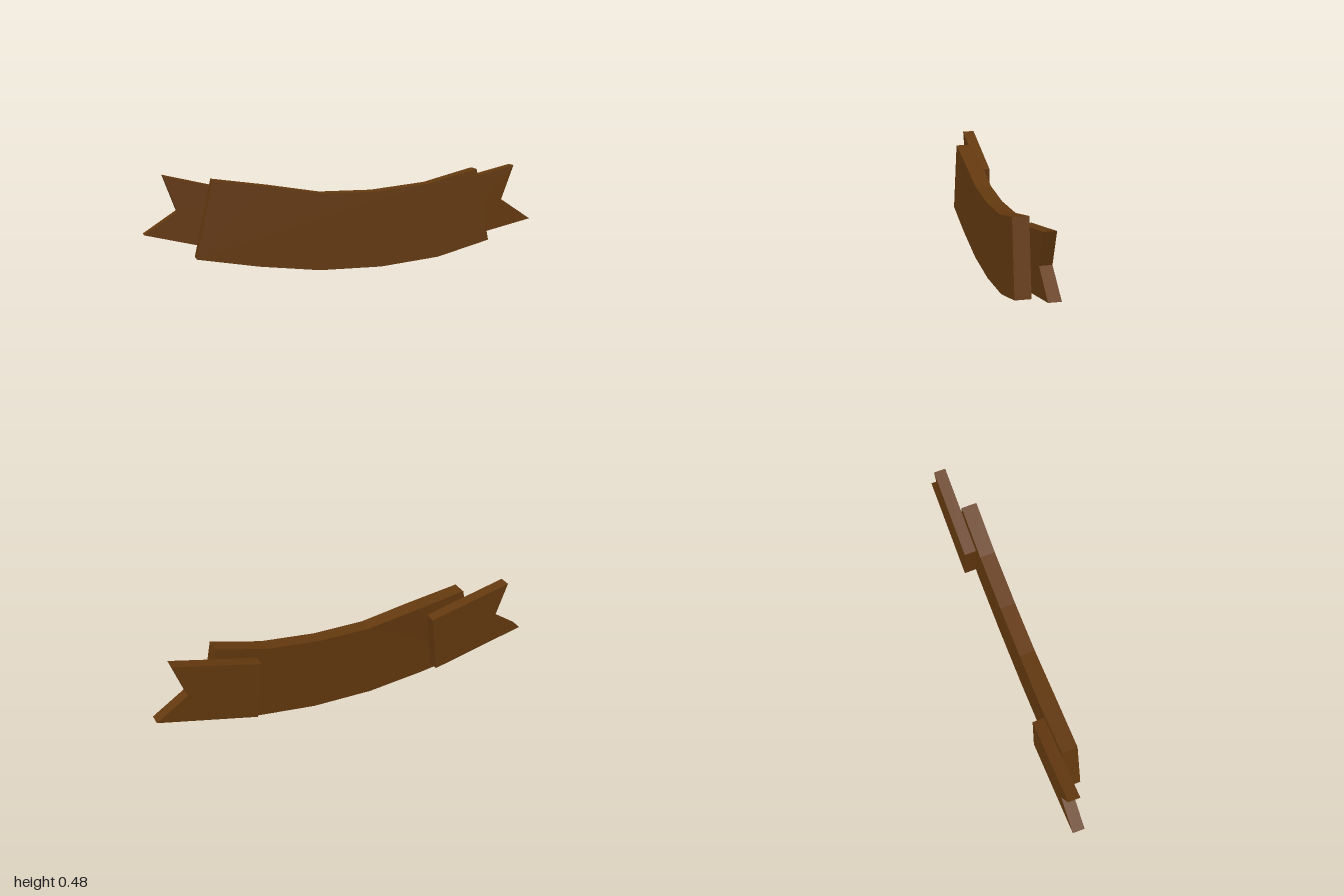
import * as THREE from 'three';

const wood = new THREE.MeshStandardMaterial({ color: 0x64390f });
wood.name = 'brown wood';

// Flat plate cut from an outline, running from zBack to zFront
function plate(name, points, zBack, zFront) {
  const shape = new THREE.Shape(points.map(([x, y]) => new THREE.Vector2(x, y)));
  const geometry = new THREE.ExtrudeGeometry(shape, { depth: zFront - zBack, bevelEnabled: false });
  geometry.translate(0, 0, zBack);
  const mesh = new THREE.Mesh(geometry, wood);
  mesh.name = name;
  return mesh;
}

export function createModel() {
  const group = new THREE.Group();
  group.name = 'ribbonBanner';

  // Curved centre band, slightly uneven as if hand cut
  const bottom = [[-0.757, 0.09], [-0.455, 0.04], [-0.15, 0.006], [0.165, 0.008], [0.465, 0.043], [0.735, 0.118]];
  const top = [[0.667, 0.484], [0.41, 0.417], [0.13, 0.387], [-0.135, 0.387], [-0.4, 0.43], [-0.674, 0.469]];
  const band = plate('centreBand', [...bottom, ...top], -0.006, 0.072);

  // Lean the band back a little, with a small bulge behind its upper left
  const pos = band.geometry.attributes.position;
  for (let i = 0; i < pos.count; i++) {
    const x = pos.getX(i), y = pos.getY(i), z = pos.getZ(i);
    const bulge = z < 0 && y > 0.3 ? 0.006 * Math.max(0, 1 - Math.abs(x + 0.4) / 0.3) : 0;
    pos.setZ(i, z - 0.008 * y - bulge);
  }
  band.geometry.computeVertexNormals();
  group.add(band);

  // Swallow-tailed ends behind the band
  const tail = [[0.497, 0.086], [0.997, 0.205], [0.837, 0.312], [0.902, 0.488], [0.465, 0.383]];
  for (const side of [1, -1]) {
    const outline = tail.map(([x, y]) => [side * x, y]);
    group.add(plate(side > 0 ? 'leftTail' : 'rightTail', outline, -0.072, -0.012));
  }
  return group;
}
